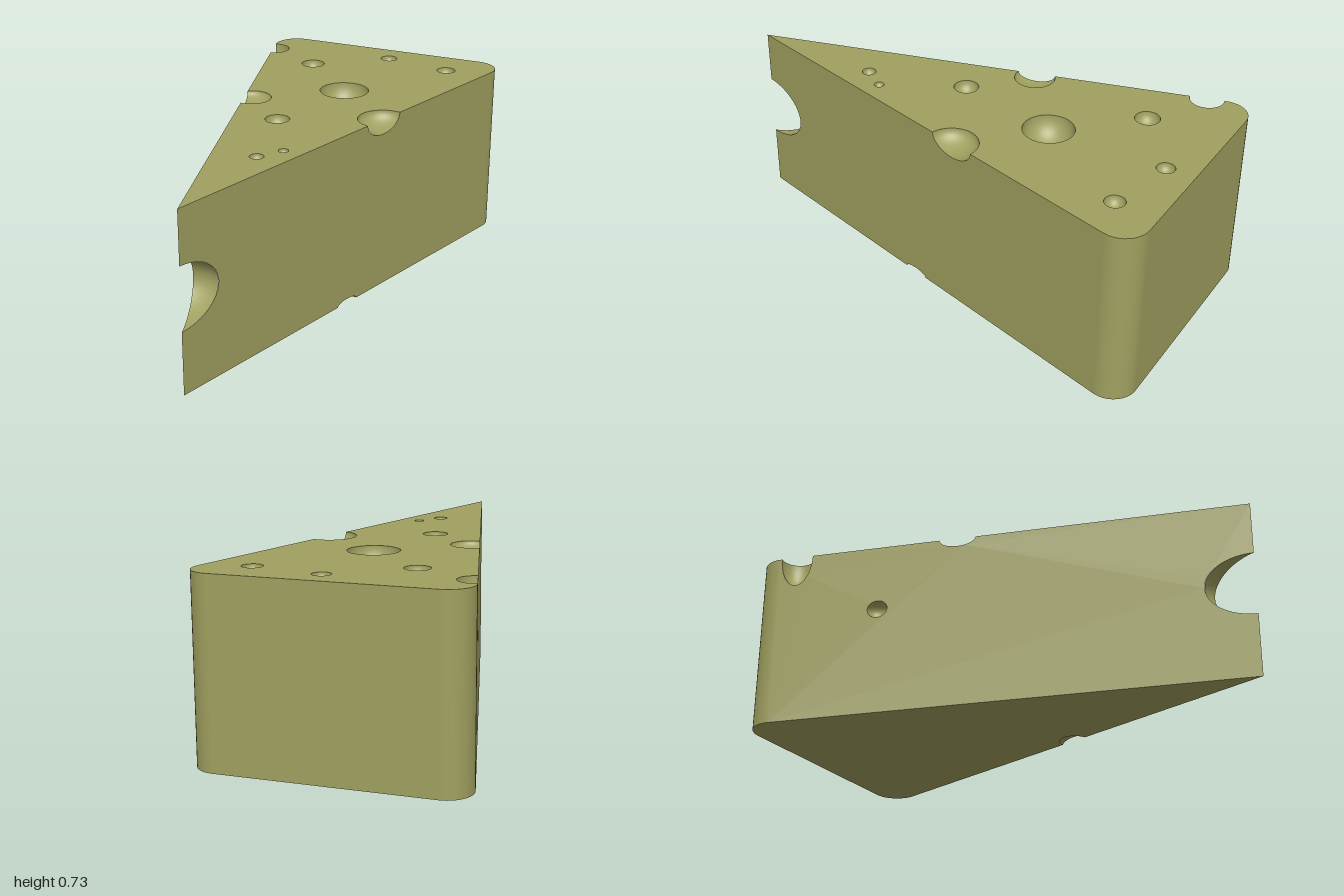
import * as THREE from 'three';

const H = 0.73;                                   // wedge height
const CORNER = { x: 0.423, z: -0.9, r: 0.1 };     // rounded back corners
const ANGLE = Math.atan2(CORNER.x, 1 - CORNER.z) + Math.asin(CORNER.r / Math.hypot(CORNER.x, 1 - CORNER.z));
const NX = Math.cos(ANGLE), NZ = Math.sin(ANGLE); // outward normal of the +x side
const LEN = Math.sqrt(CORNER.x ** 2 + (1 - CORNER.z) ** 2 - CORNER.r ** 2);

// Cavities: centre x, y, z, horizontal radius, vertical stretch
const CAVITIES = [
  [0.04, H, -0.88, 0.036, 1], [0.33, H, -0.82, 0.04, 1], [-0.24, H, -0.67, 0.05, 1],
  [0.03, H, -0.385, 0.102, 1], [-0.075, H, 0.05, 0.05, 1], [0.095, H, 0.355, 0.02, 1],
  [0.03, H, 0.45, 0.028, 1],
  [-0.495, H, -0.805, 0.068, 1.9], [-0.285, H, -0.145, 0.082, 0.45], [0.31, H, -0.125, 0.105, 0.6], // top edge bites
  [0.255, 0, 0.09, 0.06, 0.3],     // bottom edge bite
  [-0.405, 0.45, -0.455, 0.042, 0.87], // side hole
  [0, 0.385, 1, 0.195, 0.66],      // bite through the tip
].map(([x, y, z, r, s]) => ({ x, y, z, r, s }));

// Planar face: counter-clockwise polygon with ellipses cut from its edges or inside
function bittenFace(points, ellipses) {
  const outline = [], used = new Set();
  const at = (e, t) => new THREE.Vector2(e.u + e.a * Math.cos(t), e.v + e.b * Math.sin(t));
  points.forEach((p, i) => {
    const q = points[(i + 1) % points.length], bites = [];
    outline.push(p);
    for (const e of ellipses) {
      const px = (p.x - e.u) / e.a, py = (p.y - e.v) / e.b;
      const dx = (q.x - p.x) / e.a, dy = (q.y - p.y) / e.b;
      const A = dx * dx + dy * dy, B = px * dx + py * dy, D = B * B - A * (px * px + py * py - 1);
      if (D <= 0) continue;
      const t1 = (-B - Math.sqrt(D)) / A, t2 = (-B + Math.sqrt(D)) / A;
      if (t1 <= 0 || t2 >= 1) continue;
      used.add(e);
      const from = Math.atan2(py + dy * t1, px + dx * t1), to = Math.atan2(py + dy * t2, px + dx * t2);
      bites.push({ e, t1, from, sweep: (from - to + 4 * Math.PI) % (2 * Math.PI) });
    }
    bites.sort((m, n) => m.t1 - n.t1);
    for (const b of bites)
      for (let k = 0; k <= 24; k++) outline.push(at(b.e, b.from - b.sweep * k / 24));
  });
  const shape = new THREE.Shape(outline);
  for (const e of ellipses) {
    if (used.has(e)) continue;
    shape.holes.push(new THREE.Path(Array.from({ length: 40 }, (_, k) => at(e, -k / 40 * 2 * Math.PI))));
  }
  return new THREE.ShapeGeometry(shape);
}

// Rounded back: points with normals from the +x tangent round to the -x tangent
function backProfile() {
  const half = [];
  for (let k = 0; k <= 12; k++) {
    const t = ANGLE + (-Math.PI / 2 - ANGLE) * k / 12, c = Math.cos(t), s = Math.sin(t);
    half.push({ x: CORNER.x + CORNER.r * c, z: CORNER.z + CORNER.r * s, nx: c, nz: s });
  }
  return [...half, ...half.slice().reverse().map(p => ({ ...p, x: -p.x, nx: -p.nx }))];
}

// Horizontal face at height y; dir is 1 facing up, -1 facing down
function horizontalFace(y, dir) {
  const points = [{ x: 0, z: 1 }, ...backProfile()].map(p => new THREE.Vector2(p.x, -dir * p.z));
  if (dir < 0) points.reverse();
  const cuts = [];
  for (const c of CAVITIES) {
    const k = 1 - ((y - c.y) / (c.r * c.s)) ** 2;
    if (k > 0) cuts.push({ u: c.x, v: -dir * c.z, a: c.r * Math.sqrt(k), b: c.r * Math.sqrt(k) });
  }
  return bittenFace(points, cuts).rotateX(-dir * Math.PI / 2).translate(0, y, 0);
}

// Upright cut side; dir is 1 for +x, -1 for -x, with its local origin at the tip
function sideFace(dir) {
  const n = new THREE.Vector3(dir * NX, 0, NZ), up = new THREE.Vector3(0, 1, 0);
  const u = new THREE.Vector3().crossVectors(up, n);
  const [s0, s1] = dir > 0 ? [0, LEN] : [-LEN, 0];
  const points = [[s0, 0], [s1, 0], [s1, H], [s0, H]].map(p => new THREE.Vector2(...p));
  const cuts = [];
  for (const c of CAVITIES) {
    const rel = new THREE.Vector3(c.x, 0, c.z - 1), k = c.r ** 2 - rel.dot(n) ** 2;
    if (k > 0) cuts.push({ u: rel.dot(u), v: c.y, a: Math.sqrt(k), b: Math.sqrt(k) * c.s });
  }
  const m = new THREE.Matrix4().makeBasis(u, up, n).setPosition(0, 0, 1);
  return bittenFace(points, cuts).applyMatrix4(m);
}

function buildGeometry(pos, nor) {
  const g = new THREE.BufferGeometry();
  g.setAttribute('position', new THREE.Float32BufferAttribute(pos, 3));
  g.setAttribute('normal', new THREE.Float32BufferAttribute(nor, 3));
  return g;
}

function backWall() {
  const pos = [], nor = [], index = [];
  backProfile().forEach((p, i, all) => {
    pos.push(p.x, 0, p.z, p.x, H, p.z);
    nor.push(p.nx, 0, p.nz, p.nx, 0, p.nz);
    const a = 2 * i;
    if (i < all.length - 1) index.push(a, a + 2, a + 1, a + 1, a + 2, a + 3);
  });
  const g = buildGeometry(pos, nor);
  g.setIndex(index);
  return g;
}

// Hollow lining: an inward-facing ellipsoid trimmed to the inside of the wedge
function cavityLining(c) {
  const inside = [
    p => H - p.y, p => p.y,
    p => -(p.x * NX + (p.z - 1) * NZ), p => p.x * NX - (p.z - 1) * NZ,
  ];
  const ball = new THREE.SphereGeometry(c.r, 36, 24).toNonIndexed();
  ball.scale(1, c.s, 1).translate(c.x, c.y, c.z);
  const src = ball.attributes.position, pos = [], nor = [];
  for (let i = 0; i < src.count; i += 3) {
    let poly = [2, 1, 0].map(k => new THREE.Vector3().fromBufferAttribute(src, i + k));
    for (const f of inside) {
      const kept = [];
      poly.forEach((p, k) => {
        const q = poly[(k + 1) % poly.length], fp = f(p), fq = f(q);
        if (fp >= 0) kept.push(p);
        if ((fp >= 0) !== (fq >= 0)) kept.push(p.clone().lerp(q, fp / (fp - fq)));
      });
      poly = kept;
    }
    for (let k = 1; k < poly.length - 1; k++) {
      for (const p of [poly[0], poly[k], poly[k + 1]]) {
        const n = new THREE.Vector3(c.x - p.x, (c.y - p.y) / c.s ** 2, c.z - p.z).normalize();
        pos.push(p.x, p.y, p.z);
        nor.push(n.x, n.y, n.z);
      }
    }
  }
  return buildGeometry(pos, nor);
}

export function createModel() {
  const model = new THREE.Group();
  model.name = 'cheeseWedge';
  const cheese = new THREE.MeshStandardMaterial({ color: 0xa0a060 });
  const add = (name, geometry) => {
    const mesh = new THREE.Mesh(geometry, cheese);
    mesh.name = name;
    model.add(mesh);
  };
  add('topFace', horizontalFace(H, 1));
  add('bottomFace', horizontalFace(0, -1));
  add('leftSide', sideFace(1));
  add('rightSide', sideFace(-1));
  add('roundedBack', backWall());
  CAVITIES.forEach((c, i) => add('cavity' + (i + 1), cavityLining(c)));
  return model;
}
